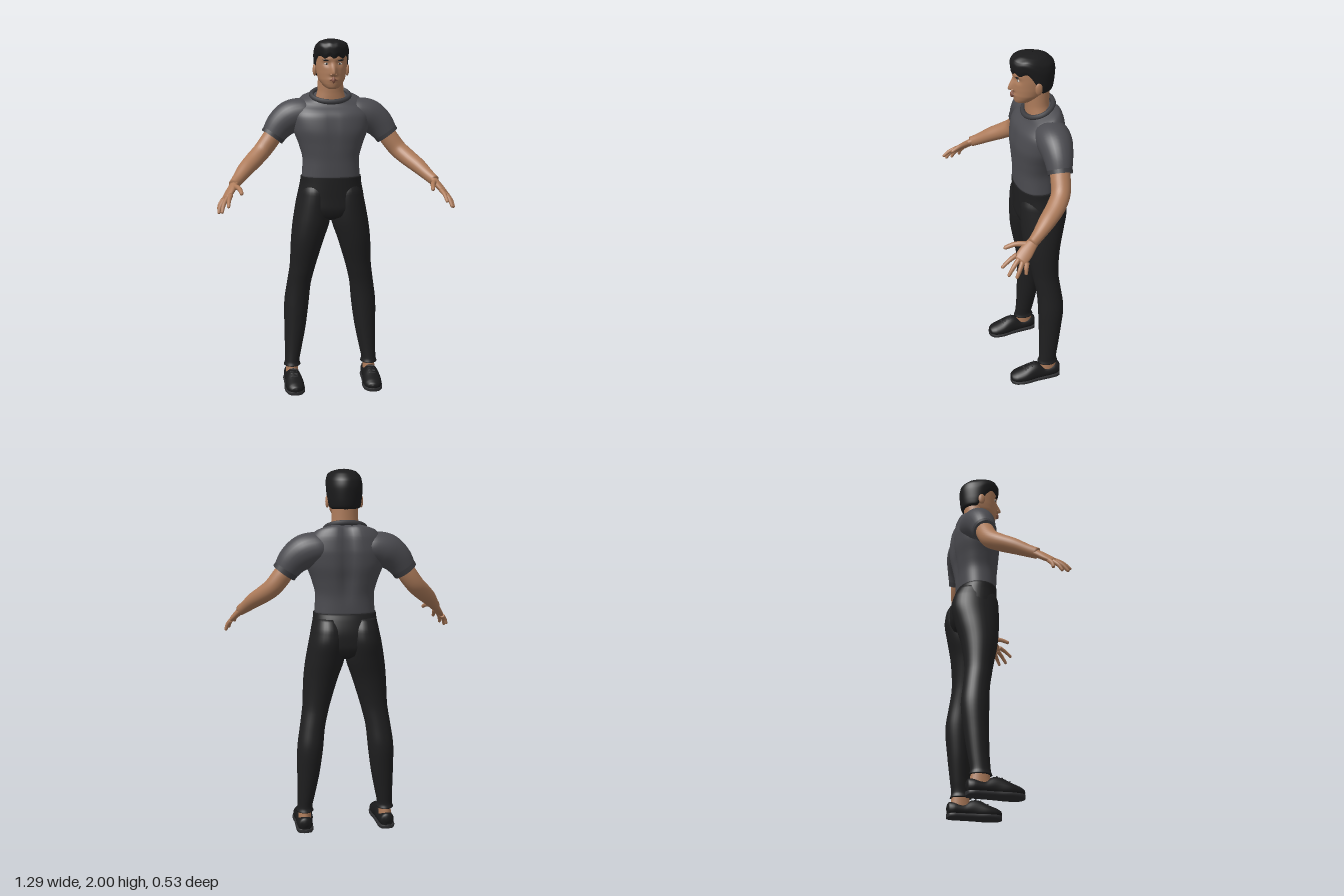
import * as THREE from 'three';

const mat = (name, color, side = THREE.FrontSide) => {
  const m = new THREE.MeshStandardMaterial({ color, side });
  m.name = name;
  return m;
};

// Horizontal cross-section from its extents: height, x range, z front, z back
const slab = (y, x0, x1, zf, zb) => [(x0 + x1) / 2, y, (zf + zb) / 2, (x1 - x0) / 2, (zf - zb) / 2];
const sym = ([y, hw, zf, zb]) => slab(y, -hw, hw, zf, zb);
const mirror = (stations, s) => stations.map(([x, ...r]) => [x * s, ...r]);
const bump = (d, w) => Math.exp(-((d / w) ** 2));
const { smoothstep, lerp, clamp } = THREE.MathUtils;

// Smooth skin through stations [x, y, z, radiusA, radiusB]; radiusB lies along ref.
function loft(stations, { ref = [0, 0, 1], flat = false, seg = 28, steps = 5, power = 2, caps = true, mod } = {}) {
  const path = new THREE.CatmullRomCurve3(stations.map(s => new THREE.Vector3(s[0], s[1], s[2])));
  const radii = new THREE.CatmullRomCurve3(stations.map(s => new THREE.Vector3(s[3], s[4], 0)));
  const n = (stations.length - 1) * steps, pos = [], idx = [];
  const r = new THREE.Vector3(...ref);
  const add = p => { if (mod) mod(p); pos.push(p.x, p.y, p.z); };
  const sup = v => Math.sign(v) * Math.abs(v) ** (2 / power);
  for (let i = 0; i <= n; i++) {
    const c = path.getPoint(i / n), q = radii.getPoint(i / n);
    const t = flat ? new THREE.Vector3(0, 1, 0) : path.getTangent(i / n);
    const u = r.clone().addScaledVector(t, -r.dot(t)).normalize();
    const v = u.clone().cross(t);
    for (let j = 0; j < seg; j++) {
      const a = j / seg * Math.PI * 2;
      add(c.clone().addScaledVector(v, q.x * sup(Math.cos(a))).addScaledVector(u, q.y * sup(Math.sin(a))));
      if (i < n) {
        const k = i * seg + j, l = i * seg + (j + 1) % seg;
        idx.push(k, l, k + seg, l, l + seg, k + seg);
      }
    }
  }
  if (caps) {
    const b = pos.length / 3, e = n * seg;
    add(path.getPoint(0));
    add(path.getPoint(1));
    for (let j = 0; j < seg; j++) {
      const k = (j + 1) % seg;
      idx.push(b, k, j, b + 1, e + j, e + k);
    }
  }
  const g = new THREE.BufferGeometry();
  g.setAttribute('position', new THREE.Float32BufferAttribute(pos, 3));
  g.setIndex(idx);
  g.computeVertexNormals();
  return g;
}

export function createModel() {
  const model = new THREE.Group();
  const skin = mat('skin', 0xae7c5b), shirt = mat('shirt grey', 0x4b4b50, THREE.DoubleSide);
  const trim = mat('shirt trim', 0x3d3d41, THREE.DoubleSide), cloth = mat('trouser black', 0x1f1f20);
  const hairMat = mat('hair black', 0x1b1b1c, THREE.DoubleSide), leather = mat('shoe black', 0x1a1a1b);
  const soleMat = mat('sole grey', 0x2d2d2f), white = mat('eye white', 0xc9c2ba);
  const lipMat = mat('lip brown', 0x8a5846);
  const put = (name, geo, m) => {
    const mesh = new THREE.Mesh(geo, m);
    mesh.name = name;
    model.add(mesh);
    return mesh;
  };
  const blob = (name, m, p, size, rz = 0) => {
    const mesh = put(name, new THREE.SphereGeometry(1, 16, 10), m);
    mesh.position.set(...p);
    mesh.scale.set(...size);
    mesh.rotation.z = rz;
    return mesh;
  };

  // Shirt body with a spine groove and a neckline that drops at the front
  put('shirtBody', loft([
    [1.225, 0.166, 0, -0.217], [1.33, 0.16, 0.004, -0.222], [1.42, 0.182, 0.011, -0.237],
    [1.5, 0.212, 0.014, -0.252], [1.57, 0.222, 0.002, -0.256], [1.63, 0.2, -0.025, -0.247],
    [1.668, 0.165, -0.05, -0.225], [1.69, 0.105, -0.055, -0.198],
  ].map(sym), {
    flat: true, seg: 56, power: 2.3, mod: p => {
      if (p.z < -0.15) p.z += 0.02 * bump(p.x, 0.035) * smoothstep(p.y, 1.25, 1.45);
      else if (p.z > -0.08) p.z -= 0.006 * bump(p.x, 0.025) * bump(p.y - 1.5, 0.1);
      p.y -= (p.z + 0.13) * 0.45 * smoothstep(p.y, 1.58, 1.7);
    },
  }), shirt);

  // Round collar
  const ring = Array.from({ length: 16 }, (_, i) => {
    const a = i / 16 * Math.PI * 2, z = -0.125 + 0.076 * Math.cos(a);
    return new THREE.Vector3(0.106 * Math.sin(a), 1.69 - (z + 0.125) * 0.45, z);
  });
  put('collar', new THREE.TubeGeometry(new THREE.CatmullRomCurve3(ring, true), 48, 0.014, 8, true), trim);

  // Neck and head
  put('neck', loft([[1.63, 0.1, -0.06, -0.19], [1.68, 0.083, -0.058, -0.188], [1.72, 0.073, -0.056, -0.183],
    [1.82, 0.07, -0.05, -0.185]].map(sym), { flat: true }), skin);
  put('head', loft([
    [1.728, 0.018, -0.012, -0.06], [1.736, 0.037, 0.002, -0.085], [1.755, 0.056, 0.008, -0.12],
    [1.78, 0.073, 0.01, -0.155], [1.815, 0.082, 0.011, -0.18], [1.865, 0.088, 0.012, -0.195],
    [1.91, 0.089, 0.013, -0.2], [1.95, 0.076, -0.002, -0.185], [1.98, 0.035, -0.05, -0.14],
  ].map(sym), {
    flat: true, seg: 72, steps: 6, mod: p => {
      if (p.z < -0.04) return;
      const ax = Math.abs(p.x);
      const slope = smoothstep(p.y, 1.795, 1.812) * (1 - smoothstep(p.y, 1.812, 1.885));
      p.z += 0.03 * bump(p.x, 0.015) * slope;                            // nose
      p.z -= 0.01 * bump(ax - 0.036, 0.02) * bump(p.y - 1.866, 0.014);   // eye sockets
      p.z += 0.004 * bump(ax - 0.03, 0.03) * bump(p.y - 1.89, 0.01);     // brow ridge
      p.z += 0.005 * bump(p.x, 0.025) * bump(p.y - 1.778, 0.012);        // mouth
    },
  }), skin);

  // Short hair: the lower edge rises from the nape to the fringe
  put('hair', loft([
    [1.79, 0.076, 0.008, -0.18], [1.8, 0.088, 0.018, -0.198], [1.84, 0.095, 0.024, -0.207],
    [1.9, 0.098, 0.026, -0.212], [1.945, 0.091, 0.018, -0.205], [1.98, 0.066, -0.01, -0.172],
    [1.995, 0.034, -0.05, -0.135], [2, 0.002, -0.09, -0.094],
  ].map(sym), {
    flat: true, seg: 72, caps: false, mod: p => {
      const back = smoothstep(-p.z, 0.035, 0.135);
      const k = lerp(0.49, 1, back) + (1 - back) * 0.035 * Math.sin(p.x * 130 + 1);
      p.y = 2 - (2 - p.y) * k;
    },
  }), hairMat);
  put('lips', loft([[-0.024, 1.777, 0.006, 0.001, 0.001], [-0.01, 1.779, 0.014, 0.005, 0.004],
    [0.01, 1.779, 0.014, 0.005, 0.004], [0.024, 1.777, 0.006, 0.001, 0.001]], { seg: 10 }), lipMat);

  // Hips
  put('hips', loft([
    [0.985, 0.06, -0.07, -0.18], [1.01, 0.16, -0.02, -0.225], [1.06, 0.196, -0.001, -0.247],
    [1.13, 0.189, 0.001, -0.25], [1.2, 0.175, 0.004, -0.236], [1.238, 0.171, 0.005, -0.223],
  ].map(sym), { flat: true, seg: 48, power: 2.2 }), cloth);

  for (const s of [1, -1]) {
    const side = s > 0 ? 'left' : 'right';
    const limb = (name, st, m, opt) => put(side + name, loft(mirror(st, s), opt), m);

    // Face details
    blob(side + 'Ear', skin, [s * 0.091, 1.83, -0.098], [0.011, 0.034, 0.02]);
    blob(side + 'Eye', white, [s * 0.036, 1.866, -0.005], [0.014, 0.006, 0.005]);
    blob(side + 'Iris', hairMat, [s * 0.035, 1.866, -0.001], [0.005, 0.0055, 0.003]);
    blob(side + 'Brow', hairMat, [s * 0.037, 1.885, 0.003], [0.022, 0.005, 0.006], s * 0.08);
    blob(side + 'Nostril', skin, [s * 0.011, 1.808, 0.016], [0.009, 0.007, 0.011]);

    // Sleeve, cuff and bare arm
    limb('Sleeve', [[0.1, 1.59, -0.147, 0.07, 0.085], [0.155, 1.588, -0.147, 0.085, 0.095],
      [0.215, 1.572, -0.146, 0.092, 0.092], [0.275, 1.53, -0.142, 0.084, 0.078],
      [0.328, 1.46, -0.135, 0.066, 0.062]], shirt);
    limb('Cuff', [[0.31, 1.485, -0.138, 0.071, 0.066], [0.33, 1.457, -0.135, 0.069, 0.065]], trim, { caps: false });
    limb('Arm', [[0.3, 1.5, -0.137, 0.05, 0.05], [0.345, 1.435, -0.132, 0.052, 0.052],
      [0.39, 1.378, -0.118, 0.05, 0.05], [0.435, 1.337, -0.078, 0.05, 0.047], [0.485, 1.295, -0.015, 0.045, 0.042],
      [0.53, 1.25, 0.05, 0.033, 0.033], [0.557, 1.225, 0.092, 0.026, 0.03]], skin, { ref: [0, 1, 0] });

    // Hand
    limb('Palm', [[0.543, 1.238, 0.07, 0.02, 0.026], [0.56, 1.218, 0.1, 0.02, 0.032],
      [0.58, 1.192, 0.135, 0.018, 0.038], [0.597, 1.17, 0.163, 0.015, 0.036], [0.602, 1.163, 0.172, 0.006, 0.028]],
      skin, { ref: [0.043 * s, -0.03, -0.05], seg: 20 });
    const fingers = {
      Thumb: [0.553, 1.222, 0.11, 0.528, 1.22, 0.17, 0.516, 1.2, 0.222],
      IndexFinger: [0.573, 1.187, 0.178, 0.583, 1.168, 0.22, 0.588, 1.138, 0.258],
      MiddleFinger: [0.59, 1.174, 0.17, 0.612, 1.142, 0.208, 0.622, 1.105, 0.235],
      RingFinger: [0.604, 1.163, 0.156, 0.629, 1.13, 0.18, 0.639, 1.095, 0.198],
      LittleFinger: [0.613, 1.158, 0.137, 0.632, 1.132, 0.147, 0.64, 1.107, 0.15],
    };
    for (const [name, f] of Object.entries(fingers)) {
      const r = name === 'Thumb' ? 0.013 : 0.011;
      const tip = [0, 1, 2].map(i => f[6 + i] + (f[6 + i] - f[3 + i]) * 0.12);
      limb(name, [[...f.slice(0, 3), r * 1.2, r * 1.2], [...f.slice(3, 6), r, r],
        [...f.slice(6, 9), r * 0.75, r * 0.75], [...tip, 0.002, 0.002]], skin, { ref: [1, 0, 0], seg: 10 });
    }

    // Trouser leg
    limb('TrouserLeg', [
      [0.11, 0.18, 0.278, -0.068, -0.188], [0.135, 0.186, 0.271, -0.076, -0.18], [0.2, 0.173, 0.27, -0.08, -0.19],
      [0.335, 0.146, 0.271, -0.081, -0.21], [0.495, 0.125, 0.269, -0.078, -0.226], [0.6, 0.114, 0.254, -0.071, -0.214],
      [0.707, 0.089, 0.238, -0.052, -0.202], [0.866, 0.041, 0.23, -0.018, -0.216],
      [0.98, 0.004, 0.217, -0.004, -0.243], [1.08, -0.002, 0.199, -0.001, -0.264],
      [1.15, 0.002, 0.184, -0.004, -0.256], [1.21, 0.02, 0.165, -0.03, -0.225],
    ].map(a => slab(...a)), cloth, { flat: true, seg: 32 });

    // Ankle, shoe, sole and laces
    limb('Ankle', [slab(0.04, 0.195, 0.267, -0.07, -0.188), slab(0.14, 0.195, 0.262, -0.085, -0.175)], skin, { flat: true });
    const shoe = [[0.232, 0.05, -0.205, 0.008, 0.01], [0.232, 0.05, -0.195, 0.034, 0.036], [0.232, 0.045, -0.165, 0.044, 0.042],
      [0.231, 0.04, -0.11, 0.045, 0.04], [0.229, 0.045, -0.05, 0.047, 0.06], [0.227, 0.035, 0.015, 0.054, 0.046],
      [0.224, 0.03, 0.065, 0.048, 0.034], [0.221, 0.027, 0.092, 0.03, 0.022], [0.22, 0.026, 0.1, 0.006, 0.008]];
    limb('Shoe', shoe, leather, { ref: [0, 1, 0], mod: p => { p.y = Math.max(p.y, 0.016); } });
    limb('Sole', shoe.map(([x, , z, a]) => [x, 0.011, z, a * 1.06 + 0.002, 0.03]), soleMat,
      { ref: [0, 1, 0], mod: p => { p.y = clamp(p.y, 0, 0.02); } });
    for (let i = 0; i < 4; i++) {
      const lace = put(side + 'Lace', new THREE.CapsuleGeometry(0.004, 0.036, 4, 8), soleMat);
      lace.position.set(s * 0.228, 0.104 - i * 0.0075, -0.045 + i * 0.02);
      lace.rotation.set(0, i % 2 ? 0.2 : -0.2, Math.PI / 2);
    }
  }
  return model;
}
